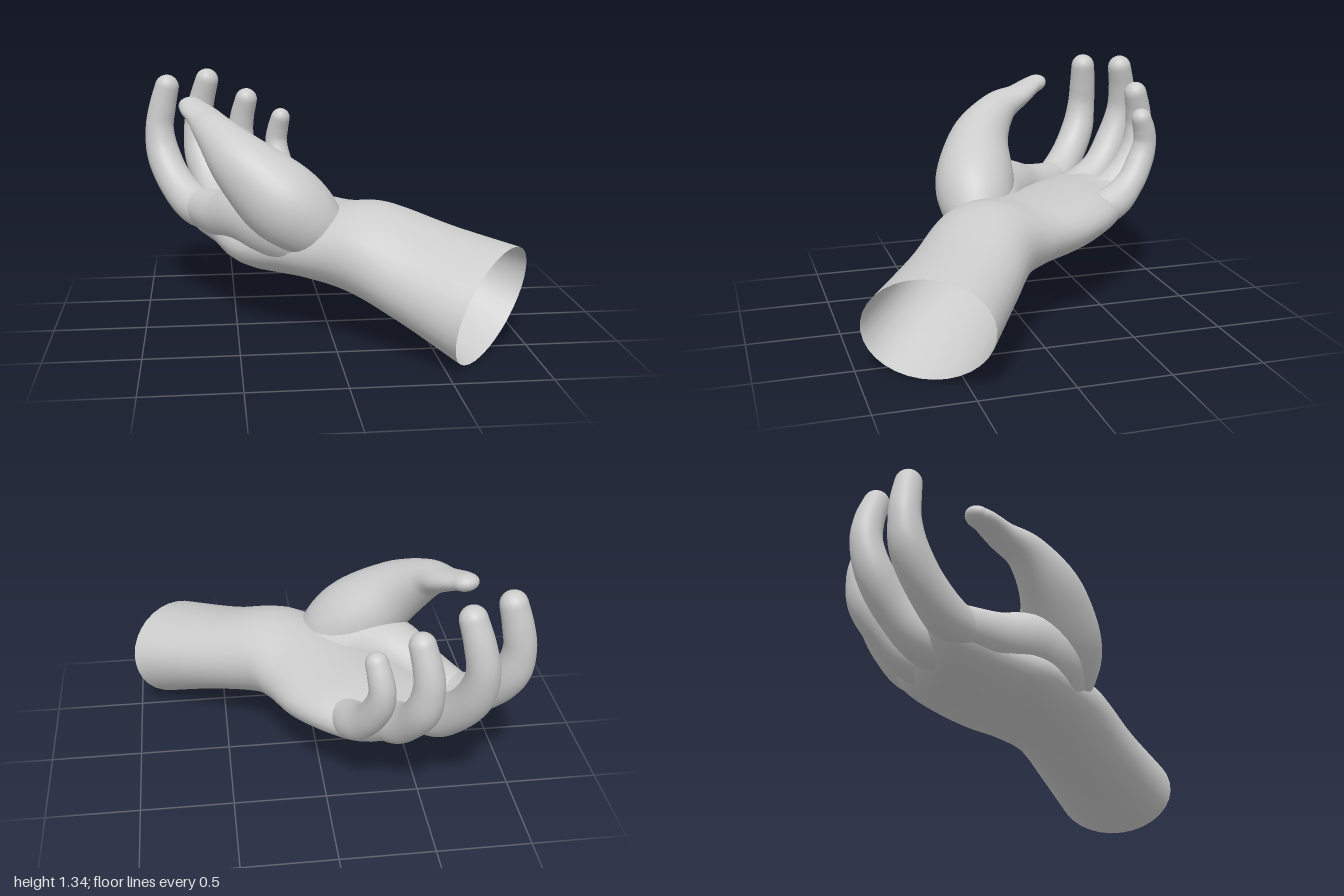
import * as THREE from 'three';

const SIDES = 32;
const skin = new THREE.MeshStandardMaterial({ color: 0xcccccc, side: THREE.DoubleSide });
const vec = (a) => new THREE.Vector3(a[0], a[1], a[2]);

// Smooth closed-ended skin over rings { c, u, v }: centre and two half-axis vectors
function loft(name, rings) {
  const pos = [], idx = [];
  for (const { c, u, v } of rings) {
    for (let j = 0; j < SIDES; j++) {
      const a = (j / SIDES) * Math.PI * 2;
      const p = c.clone().addScaledVector(u, Math.cos(a)).addScaledVector(v, -Math.sin(a));
      pos.push(p.x, p.y, p.z);
    }
  }
  for (let i = 0; i < rings.length - 1; i++) {
    for (let j = 0; j < SIDES; j++) {
      const k = (j + 1) % SIDES;
      const a = i * SIDES + j, b = i * SIDES + k, c = a + SIDES, d = b + SIDES;
      idx.push(a, b, c, b, d, c);
    }
  }
  const last = (rings.length - 1) * SIDES, tip = rings.length * SIDES;
  pos.push(...rings[rings.length - 1].c.toArray());
  for (let j = 0; j < SIDES; j++) idx.push(last + j, last + ((j + 1) % SIDES), tip);

  const geo = new THREE.BufferGeometry();
  geo.setAttribute('position', new THREE.Float32BufferAttribute(pos, 3));
  geo.setIndex(idx);
  geo.computeVertexNormals();
  const mesh = new THREE.Mesh(geo, skin);
  mesh.name = name;
  return mesh;
}

// Spline through any list of triples, sampled evenly by control point
function spline(list, n) {
  const curve = new THREE.CatmullRomCurve3(list.map(vec), false, 'catmullrom', 0.5);
  return Array.from({ length: n + 1 }, (_, i) => ({ p: curve.getPoint(i / n), t: curve.getTangent(i / n) }));
}

// Forearm (open at the cut) and palm: sections as [centre, half width, half height]
function armAndPalm() {
  const s = [
    [[0.765, 0.285, 0.685], [0.232, 0.01, -0.283], [0.085, 0.284, -0.02]],
    [[0.475, 0.395, 0.45], [0.225, 0.02, -0.25], [0.05, 0.245, 0]],
    [[0.21, 0.49, 0.25], [0.21, 0.02, -0.23], [0.02, 0.24, 0.02]],
    [[0.02, 0.495, 0.065], [0.28, 0.02, -0.215], [0, 0.205, 0]],
    [[-0.16, 0.49, -0.145], [0.365, 0.03, -0.21], [0, 0.19, 0]],
    [[-0.28, 0.51, -0.36], [0.36, 0.02, -0.16], [0, 0.165, 0]],
    [[-0.4, 0.525, -0.52], [0.34, 0.01, -0.12], [0, 0.14, 0]],
    [[-0.425, 0.56, -0.6], [0.32, 0.02, -0.1], [0, 0.1, 0]],
    [[-0.435, 0.58, -0.635], [0.27, 0.02, -0.08], [0, 0.03, 0]],
  ];
  const n = 56;
  const [c, u, v] = [0, 1, 2].map((k) => spline(s.map((q) => q[k]), n));
  return loft('forearmAndPalm', c.map((q, i) => ({ c: q.p, u: u[i].p, v: v[i].p })));
}

// Digit: points are [x, y, z, radius, flatness], closed by a rounded tip
function digit(name, pts, side) {
  const n = 40;
  const path = spline(pts, n);
  const size = spline(pts.map((q) => [q[3], q[4] ?? 1, 0]), n);
  const rings = [];
  const add = (c, t, r, k) => {
    const u = vec(side).addScaledVector(t, -vec(side).dot(t)).normalize();
    const v = u.clone().cross(t);
    rings.push({ c, u: u.multiplyScalar(r), v: v.multiplyScalar(r * k) });
  };
  path.forEach((q, i) => add(q.p, q.t, size[i].p.x, size[i].p.y));
  const end = path[n], r = size[n].p.x, k = size[n].p.y;
  for (let i = 1; i <= 8; i++) {
    const a = (i / 8) * Math.PI * 0.49;
    add(end.p.clone().addScaledVector(end.t, r * Math.sin(a)), end.t, r * Math.cos(a), k);
  }
  return loft(name, rings);
}

export function createModel() {
  const hand = new THREE.Group();
  hand.name = 'hand';
  hand.add(armAndPalm());

  // Four curled fingers, knuckle to tip
  const fingers = {
    indexFinger: [[-0.58, 0.57, -0.3, 0.11], [-0.715, 0.585, -0.45, 0.112], [-0.83, 0.7, -0.58, 0.102],
      [-0.9, 0.85, -0.67, 0.097], [-0.92, 1.0, -0.7, 0.083], [-0.9, 1.13, -0.7, 0.078], [-0.87, 1.25, -0.69, 0.07]],
    middleFinger: [[-0.46, 0.52, -0.34, 0.1], [-0.545, 0.54, -0.54, 0.125], [-0.62, 0.66, -0.71, 0.103],
      [-0.68, 0.82, -0.82, 0.098], [-0.695, 0.99, -0.875, 0.084], [-0.67, 1.14, -0.87, 0.077], [-0.635, 1.27, -0.84, 0.069]],
    ringFinger: [[-0.24, 0.52, -0.36, 0.1], [-0.325, 0.54, -0.585, 0.115], [-0.38, 0.65, -0.75, 0.094],
      [-0.42, 0.79, -0.86, 0.09], [-0.435, 0.93, -0.89, 0.079], [-0.425, 1.04, -0.88, 0.073], [-0.4, 1.15, -0.85, 0.066]],
    littleFinger: [[-0.06, 0.53, -0.36, 0.08], [-0.12, 0.565, -0.59, 0.1], [-0.17, 0.665, -0.73, 0.082],
      [-0.21, 0.79, -0.81, 0.076], [-0.22, 0.89, -0.84, 0.067], [-0.21, 0.97, -0.83, 0.063], [-0.195, 1.04, -0.805, 0.057]],
  };
  for (const [name, pts] of Object.entries(fingers)) hand.add(digit(name, pts, [0.9, 0, -0.4]));

  // Thumb, broad at its base and flattened at the tip
  hand.add(digit('thumb', [
    [0.01, 0.53, 0.22, 0.13], [-0.12, 0.62, 0.2, 0.2], [-0.27, 0.745, 0.17, 0.22], [-0.46, 0.92, 0.09, 0.17],
    [-0.59, 1.06, -0.05, 0.118, 0.9], [-0.65, 1.125, -0.19, 0.1, 0.65], [-0.705, 1.165, -0.28, 0.084, 0.6],
    [-0.725, 1.18, -0.325, 0.072, 0.68],
  ], [0.85, 0.1, -0.5]));

  // Fleshy mound under the thumb, running into the web at the index knuckle
  hand.add(digit('thumbMound', [
    [0.06, 0.49, 0.18, 0.17], [-0.1, 0.54, 0.14, 0.2], [-0.27, 0.6, 0.09, 0.205], [-0.42, 0.62, -0.04, 0.175],
    [-0.55, 0.585, -0.21, 0.14], [-0.67, 0.58, -0.4, 0.112],
  ], [0.85, 0, -0.5]));

  return hand;
}
